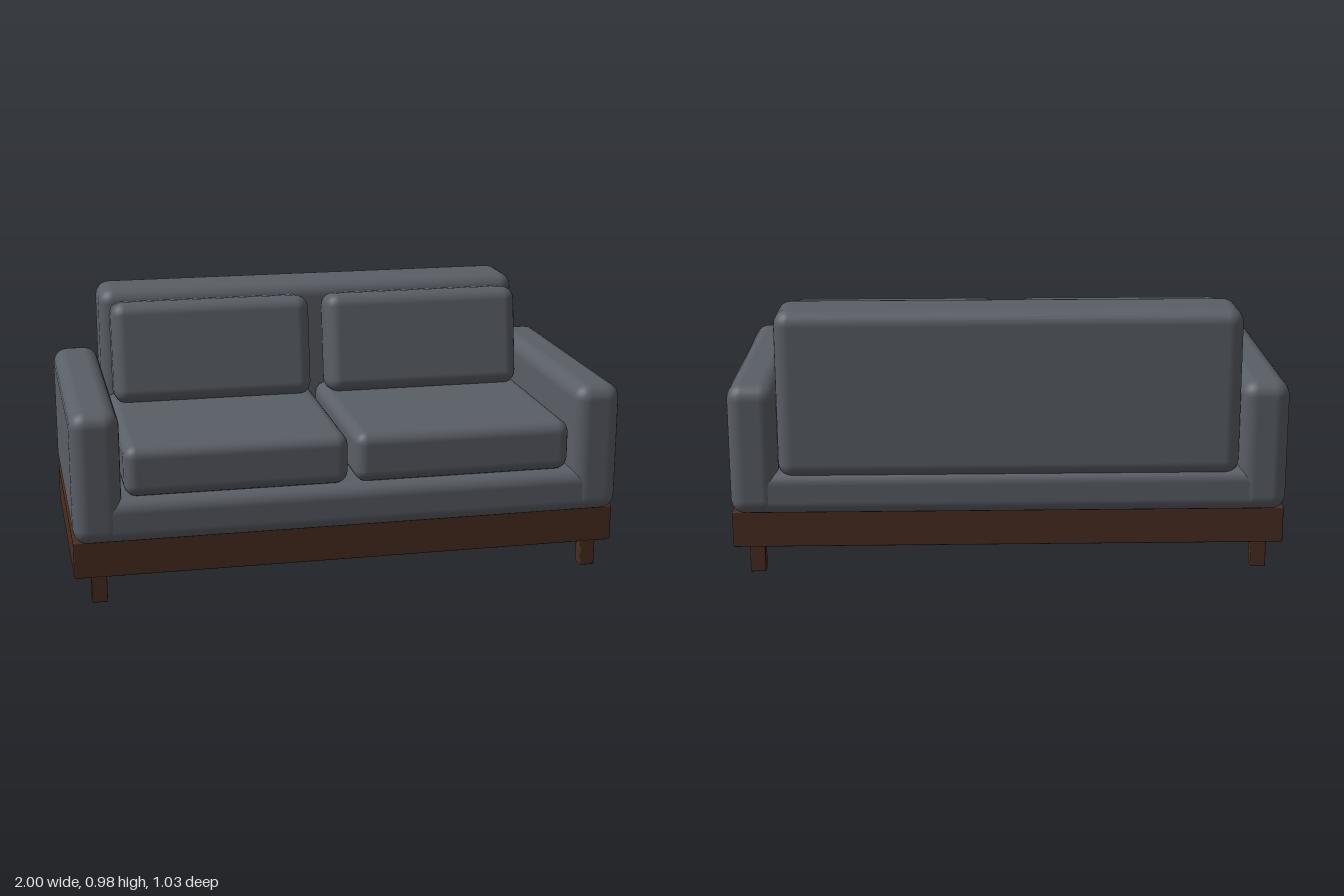
import * as THREE from 'three';
import { RoundedBoxGeometry } from 'three/addons/geometries/RoundedBoxGeometry.js';

const fabric = new THREE.MeshStandardMaterial({ color: 0x5a5e66 });
const wood = new THREE.MeshStandardMaterial({ color: 0x4a2d20 });

// Soft-edged block given by its [min, max] range on each axis
function block(name, [x0, x1], [y0, y1], [z0, z1], radius, material) {
  const geometry = new RoundedBoxGeometry(x1 - x0, y1 - y0, z1 - z0, 3, radius);
  const mesh = new THREE.Mesh(geometry, material);
  mesh.name = name;
  mesh.position.set((x0 + x1) / 2, (y0 + y1) / 2, (z0 + z1) / 2);
  return mesh;
}

export function createModel() {
  const sofa = new THREE.Group();
  sofa.name = 'sofa';

  // Wooden plinth and upholstered platform
  sofa.add(block('woodenBase', [-1, 1], [0.095, 0.23], [-0.457, 0.457], 0.005, wood));
  sofa.add(block('seatPlatform', [-0.998, 0.998], [0.23, 0.392], [-0.511, 0.511], 0.05, fabric));

  // Backrest
  sofa.add(block('backrest', [-0.826, 0.826], [0.365, 0.976], [-0.515, -0.268], 0.055, fabric));

  for (const side of [1, -1]) {
    const label = side > 0 ? 'left' : 'right';
    const span = (a, b) => (side > 0 ? [a, b] : [-b, -a]);

    // Armrest
    sofa.add(block(label + 'Armrest', span(0.826, 1), [0.23, 0.712], [-0.515, 0.515], 0.056, fabric));

    // Seat cushion
    sofa.add(block(label + 'SeatCushion', span(0.012, 0.815), [0.39, 0.577], [-0.29, 0.492], 0.045, fabric));

    // Back cushion, leaning on the backrest
    const cushion = block(label + 'BackCushion', span(0.033, 0.793), [0.562, 0.946], [-0.263, -0.097], 0.05, fabric);
    cushion.rotation.x = THREE.MathUtils.degToRad(-9);
    sofa.add(cushion);

    // Short square feet
    for (const end of [1, -1]) {
      const z = end > 0 ? [0.402, 0.457] : [-0.457, -0.402];
      sofa.add(block(label + (end > 0 ? 'Front' : 'Back') + 'Foot', span(0.885, 0.94), [0, 0.098], z, 0.004, wood));
    }
  }
  return sofa;
}
